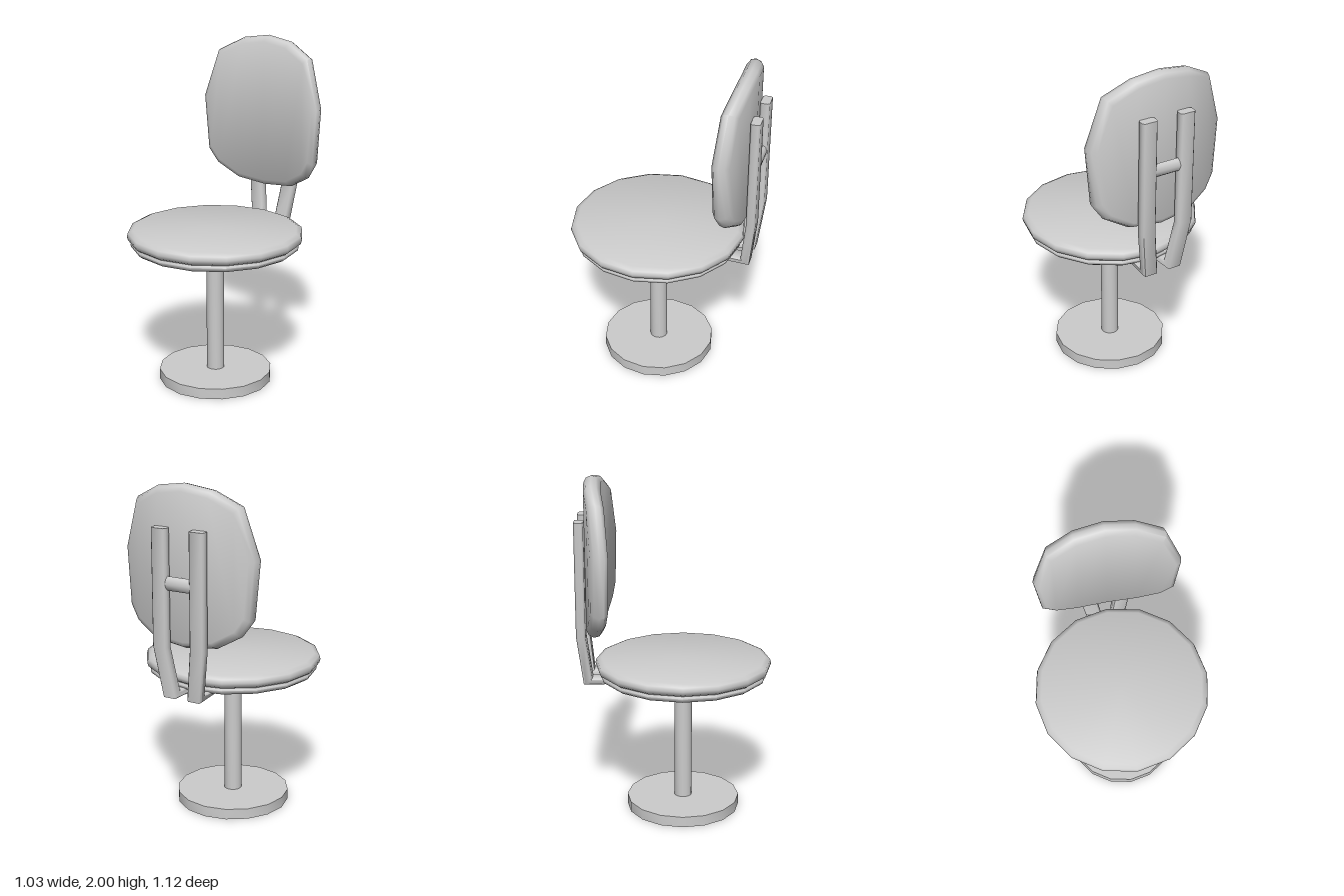
import * as THREE from 'three';
import { toCreasedNormals } from 'three/addons/utils/BufferGeometryUtils.js';

const AXIS_Z = 0.05; // centre line of the pedestal and seat

// Skin a list of closed rings, with both ends capped in strips
function loft(rings, crease = 0.9) {
  const n = rings[0].length, last = (rings.length - 1) * n, index = [];
  for (let k = 0; k < rings.length - 1; k++) {
    for (let j = 0; j < n; j++) {
      const a = k * n + j, b = k * n + (j + 1) % n;
      index.push(a, b, b + n, a, b + n, a + n);
    }
  }
  for (let j = 0; j < n / 2 - 1; j++) {
    const [a, b, c, d] = [j, j + 1, n - 2 - j, n - 1 - j];
    index.push(a, c, b, a, d, c);
    index.push(last + a, last + b, last + c, last + a, last + c, last + d);
  }
  const geo = new THREE.BufferGeometry();
  geo.setAttribute('position', new THREE.Float32BufferAttribute(rings.flat(2), 3));
  geo.setIndex(index);
  return toCreasedNormals(geo, crease);
}

// Turned part from a bottom-to-top profile of [radius, y]
function turned(profile) {
  const geo = new THREE.LatheGeometry(profile.map(([r, y]) => new THREE.Vector2(r, y)), 16);
  geo.translate(0, 0, AXIS_Z);
  return toCreasedNormals(geo, 0.9);
}

// Rounded, dished back cushion
function backCushion() {
  const top = [[0.413, 1.61], [0.325, 1.895], [0.17, 1.975], [0, 2]];
  const bottom = [[0.387, 1.275], [0.33, 1.19], [0.19, 1.11], [0, 1.09]];
  const across = (half) => [...half, ...half.slice(0, 3).reverse().map(([x, y]) => [-x, y])];
  const outline = [...across(top), ...across(bottom).reverse()];
  const cy = 1.55;
  // scale of the outline and depth offset, from back to front
  const layers = [[0.91, -0.05], [0.97, -0.037], [1, -0.008], [0.985, 0.022], [0.92, 0.046]];
  return loft(layers.map(([s, dz]) => outline.map(([x, y]) =>
    [x * s, cy + (y - cy) * s, -0.461 + dz + 0.42 * x * x * s * s])), 1.0);
}

// One bent flat bar running from under the seat up behind the cushion
function supportBar(side) {
  const w = 0.046;
  // x, y, z, then the half thickness as y and z
  const path = [
    [0.045, 0.818, 0, -0.017, 0],
    [0.078, 0.82, -0.5, -0.019, -0.025],
    [0.118, 1.1, -0.533, 0, -0.027],
    [0.118, 1.762, -0.533, 0, -0.027],
  ];
  const section = [[1, -0.6], [1, 0.6], [0.8, 1], [-0.8, 1], [-1, 0.6], [-1, -0.6], [-0.8, -1], [0.8, -1]];
  return loft(path.map(([x, y, z, ty, tz]) =>
    section.map(([u, v]) => [side * x + u * w, y + v * ty, z + v * tz])));
}

export function createModel() {
  const group = new THREE.Group();
  const grey = new THREE.MeshStandardMaterial({ color: 0xcccccc });
  grey.name = 'light grey';
  const add = (name, geo) => {
    const mesh = new THREE.Mesh(geo, grey);
    mesh.name = name;
    group.add(mesh);
    return mesh;
  };

  // Pedestal
  add('base', turned([[0, 0], [0.335, 0], [0.335, 0.063], [0, 0.063]]));
  add('column', turned([[0.052, 0.05], [0.052, 0.8]]));
  add('mountingPlate', turned([[0, 0.79], [0.13, 0.79], [0.13, 0.835], [0, 0.835]]));

  // Seat with a groove between shell and cushion
  add('seatShell', turned([[0, 0.826], [0.475, 0.826], [0.491, 0.838], [0.495, 0.852], [0.485, 0.868], [0, 0.868]]));
  add('seatCushion', turned([[0, 0.866], [0.49, 0.866], [0.508, 0.878], [0.515, 0.9], [0.509, 0.922], [0.48, 0.936], [0, 0.936]]));

  // Backrest
  add('backCushion', backCushion());
  add('leftSupportBar', supportBar(1));
  add('rightSupportBar', supportBar(-1));
  const bar = new THREE.CylinderGeometry(0.04, 0.04, 0.18, 8);
  bar.rotateZ(Math.PI / 2).scale(1, 1, 0.55).translate(0, 1.46, -0.535);
  add('crossBar', toCreasedNormals(bar, 1.0));

  return group;
}
